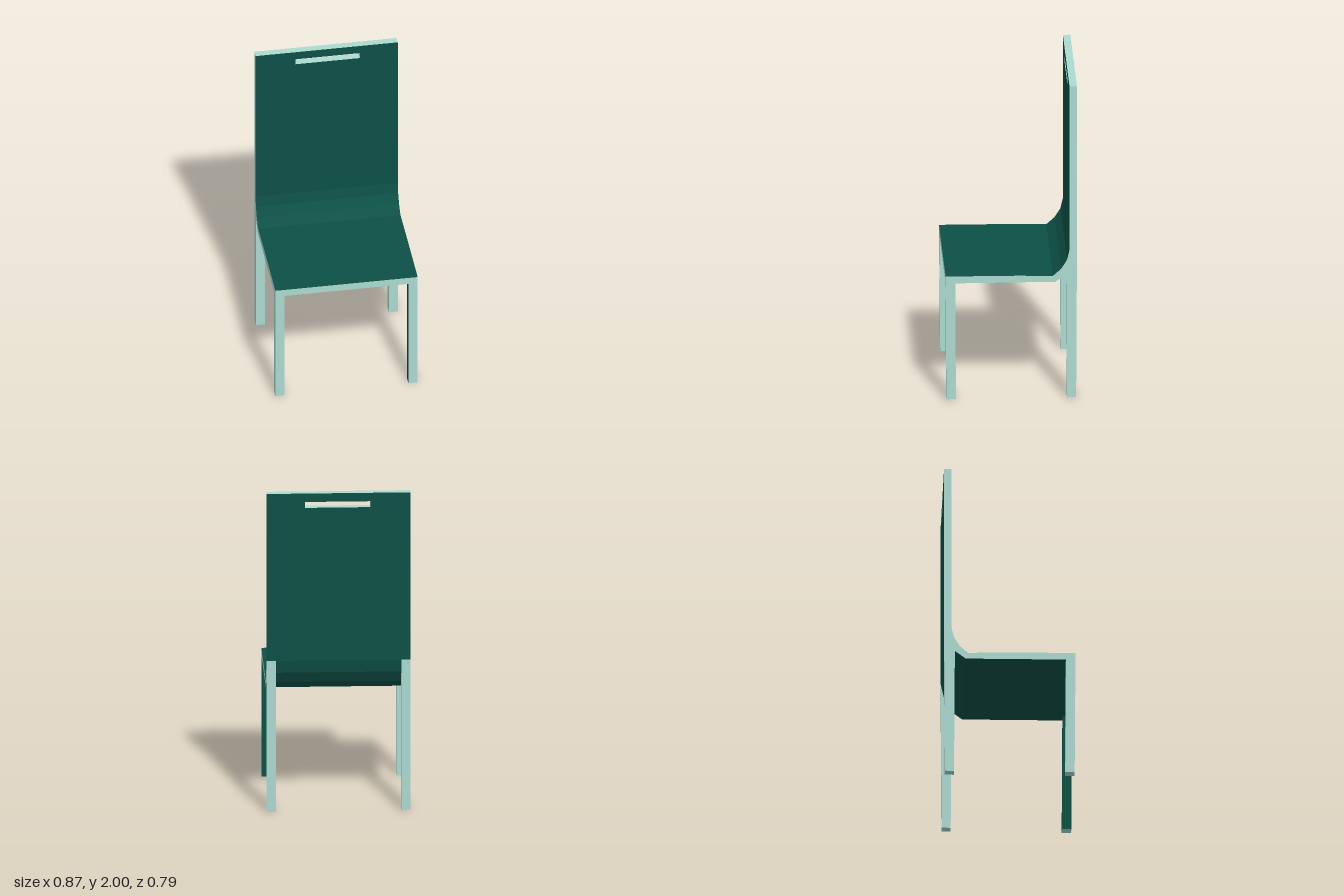
import * as THREE from 'three';

const HALF = 0.433; // half width of the chair
const LEG = 0.056; // leg width
const light = new THREE.MeshStandardMaterial({ color: 0xacdad0 });
const dark = new THREE.MeshStandardMaterial({ color: 0x0d5046 });

// Closed shape from [x, y] pairs
const outline = (pts) => new THREE.Shape(pts.map(([x, y]) => new THREE.Vector2(x, y)));

// Extrudes a side profile of [z, y] pairs across x, from xMin to xMax
function acrossX(profile, xMin, xMax) {
  const geo = new THREE.ExtrudeGeometry(outline(profile), { depth: xMax - xMin, bevelEnabled: false });
  return geo.rotateY(-Math.PI / 2).translate(xMax, 0, 0);
}

// Mesh whose triangles are light or dark according to a rule on normal and height
function paintedMesh(name, geo, isDark) {
  const n = geo.attributes.normal, p = geo.attributes.position;
  geo.clearGroups();
  for (let i = 0; i < p.count; i += 3) {
    const y = (p.getY(i) + p.getY(i + 1) + p.getY(i + 2)) / 3;
    const normal = new THREE.Vector3().fromBufferAttribute(n, i);
    geo.addGroup(i, 3, isDark(normal, y) ? 1 : 0);
  }
  const mesh = new THREE.Mesh(geo, [light, dark]);
  mesh.name = name;
  return mesh;
}

export function createModel() {
  const chair = new THREE.Group();
  chair.name = 'chair';

  // Seat with the curve that sweeps up into the backrest
  const upperCurve = [[-0.25, 0.783], [-0.3, 0.828], [-0.335, 0.885], [-0.35, 0.95]];
  const lowerCurve = [[-0.395, 0.95], [-0.378, 0.87], [-0.333, 0.797], [-0.265, 0.745]];
  const seatProfile = [[0.395, 0.745], [0.395, 0.79], [-0.04, 0.788], ...upperCurve, ...lowerCurve];
  chair.add(paintedMesh('seat', acrossX(seatProfile, -HALF, HALF),
    (n) => Math.abs(n.x) < 0.5 && n.z < 0.99));

  // Upright backrest with a hand slot
  const back = outline([[-HALF, 0.95], [HALF, 0.95], [HALF, 2], [-HALF, 2]]);
  back.holes.push(outline([[-0.19, 1.91], [-0.19, 1.947], [0.202, 1.947], [0.202, 1.91]]));
  const backGeo = new THREE.ExtrudeGeometry(back, { depth: 0.045, bevelEnabled: false });
  backGeo.translate(0, 0, -0.395);
  chair.add(paintedMesh('backrest', backGeo, (n) => Math.abs(n.z) > 0.5));

  // Legs: the back pair runs up behind the curve to the backrest
  const frontProfile = [[0.333, 0], [0.39, 0], [0.395, 0.745], [0.337, 0.745]];
  const backProfile = [[-0.39, 0], [-0.335, 0], [-0.33, 0.797], [-0.378, 0.87], [-0.395, 0.95]];
  for (const side of [-1, 1]) {
    const name = side > 0 ? 'Left' : 'Right';
    const xMin = side > 0 ? HALF - LEG : -HALF;
    // The left front leg has dark inner faces
    chair.add(paintedMesh('frontLeg' + name, acrossX(frontProfile, xMin, xMin + LEG),
      (n) => side > 0 && (n.z < -0.5 || n.x < -0.5)));
    chair.add(paintedMesh('backLeg' + name, acrossX(backProfile, xMin, xMin + LEG), () => false));
  }
  return chair;
}
